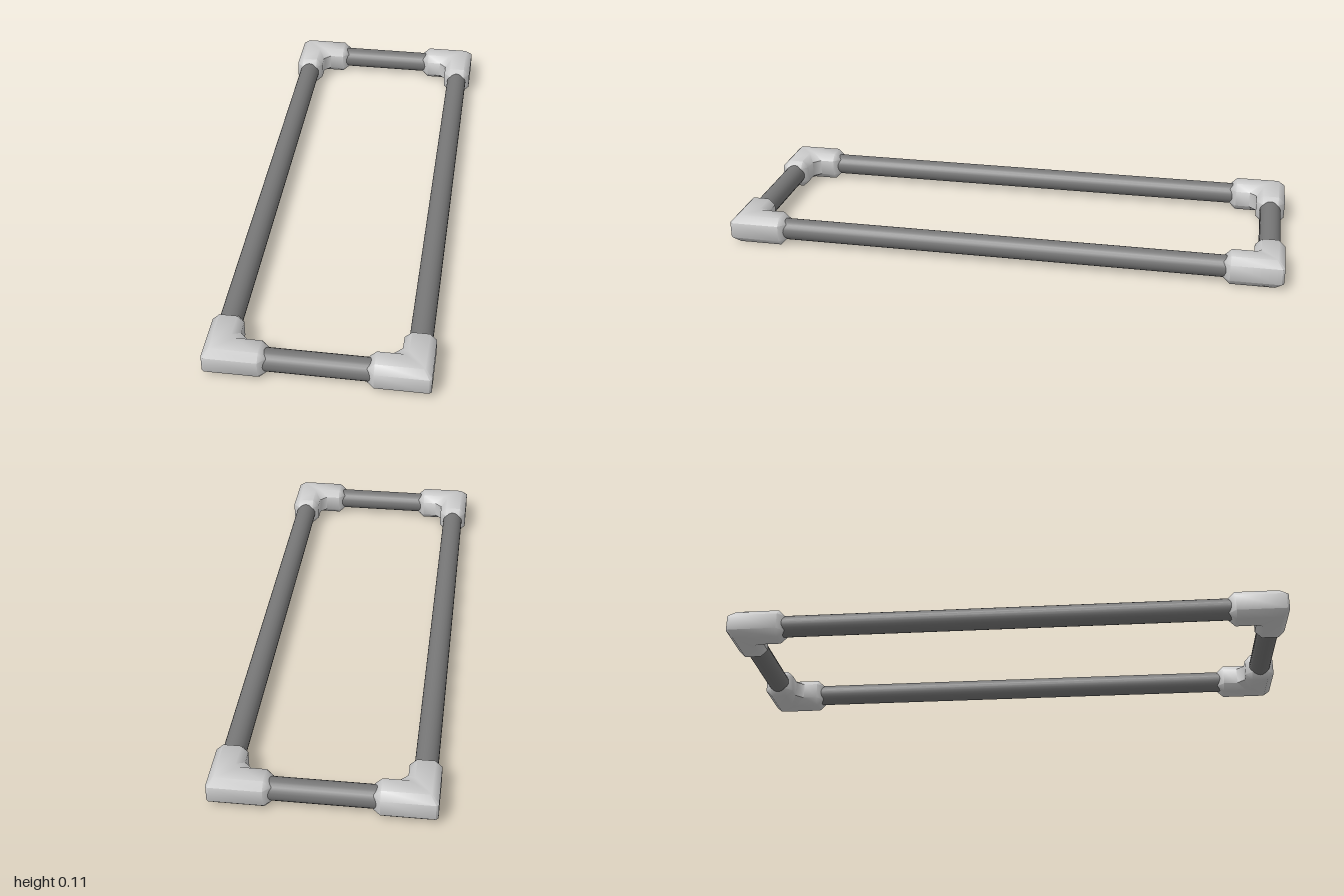
import * as THREE from 'three';
import { toCreasedNormals } from 'three/addons/utils/BufferGeometryUtils.js';

const H = 0.053;      // half thickness of an elbow
const K = 0.029;      // half width of its flat sides
const ARM = 0.155;    // elbow arm length from the pipe axes' crossing
const CX = 0.318, CZ = 0.947, PIPE_R = 0.039;

// Elbow with its outer corner towards +x +z and arms along -x and -z
function elbowGeometry() {
  const octagon = [[H, -K], [H, K], [K, H], [-K, H], [-H, K], [-H, -K], [-K, -H], [K, -H]];
  const clamp = (n) => THREE.MathUtils.clamp(n, -K, K);
  // How far the corner is cut back, wide on the inside, narrow on the outside
  const cut = (u) => (u < 0 ? 0.026 : 0.008) * Math.abs(u) / H;
  const v = (x, y, z) => new THREE.Vector3(x, y, z);
  const shoulder = -ARM + H - K;

  const rings = [
    octagon.map(([u, w]) => v(clamp(u), clamp(w), -ARM)),
    octagon.map(([u, w]) => v(u, w, shoulder)),
    octagon.map(([u, w]) => v(u, w, u - cut(u))),
    octagon.map(([u, w]) => v(u - cut(u), w, u)),
    octagon.map(([u, w]) => v(shoulder, w, u)),
    octagon.map(([u, w]) => v(-ARM, clamp(w), clamp(u))),
  ];

  const points = [];
  const tri = (a, b, c) => {
    if (new THREE.Triangle(a, b, c).getArea() > 1e-8) points.push(a, b, c);
  };
  for (let i = 0; i < rings.length - 1; i++) {
    for (let j = 0; j < 8; j++) {
      const k = (j + 1) % 8;
      tri(rings[i][j], rings[i][k], rings[i + 1][k]);
      tri(rings[i][j], rings[i + 1][k], rings[i + 1][j]);
    }
  }
  // End caps
  const first = rings[0], last = rings[rings.length - 1];
  for (let j = 1; j < 7; j++) {
    tri(first[0], first[j + 1], first[j]);
    tri(last[0], last[j], last[j + 1]);
  }
  return toCreasedNormals(new THREE.BufferGeometry().setFromPoints(points), 1.0);
}

export function createModel() {
  const model = new THREE.Group();
  model.name = 'pipeFrame';
  const elbowMaterial = new THREE.MeshStandardMaterial({ color: 0xcccccc });
  const pipeMaterial = new THREE.MeshStandardMaterial({ color: 0x777777 });

  // Four corner elbows, each a quarter turn from the last
  const elbow = elbowGeometry();
  const corners = [['frontLeft', 1, 1], ['backLeft', 1, -1], ['backRight', -1, -1], ['frontRight', -1, 1]];
  corners.forEach(([name, sx, sz], i) => {
    const mesh = new THREE.Mesh(elbow, elbowMaterial);
    mesh.name = name + 'Elbow';
    mesh.position.set(sx * CX, H, sz * CZ);
    mesh.rotation.y = i * Math.PI / 2;
    model.add(mesh);
  });

  // Long side pipes and short end pipes
  const longPipe = new THREE.CylinderGeometry(PIPE_R, PIPE_R, 2 * CZ, 24).rotateX(Math.PI / 2);
  const shortPipe = new THREE.CylinderGeometry(PIPE_R, PIPE_R, 2 * CX, 24).rotateZ(Math.PI / 2);
  for (const s of [1, -1]) {
    const side = new THREE.Mesh(longPipe, pipeMaterial);
    side.name = s > 0 ? 'leftPipe' : 'rightPipe';
    side.position.set(s * CX, H, 0);
    const end = new THREE.Mesh(shortPipe, pipeMaterial);
    end.name = s > 0 ? 'frontPipe' : 'backPipe';
    end.position.set(0, H, s * CZ);
    model.add(side, end);
  }
  return model;
}
